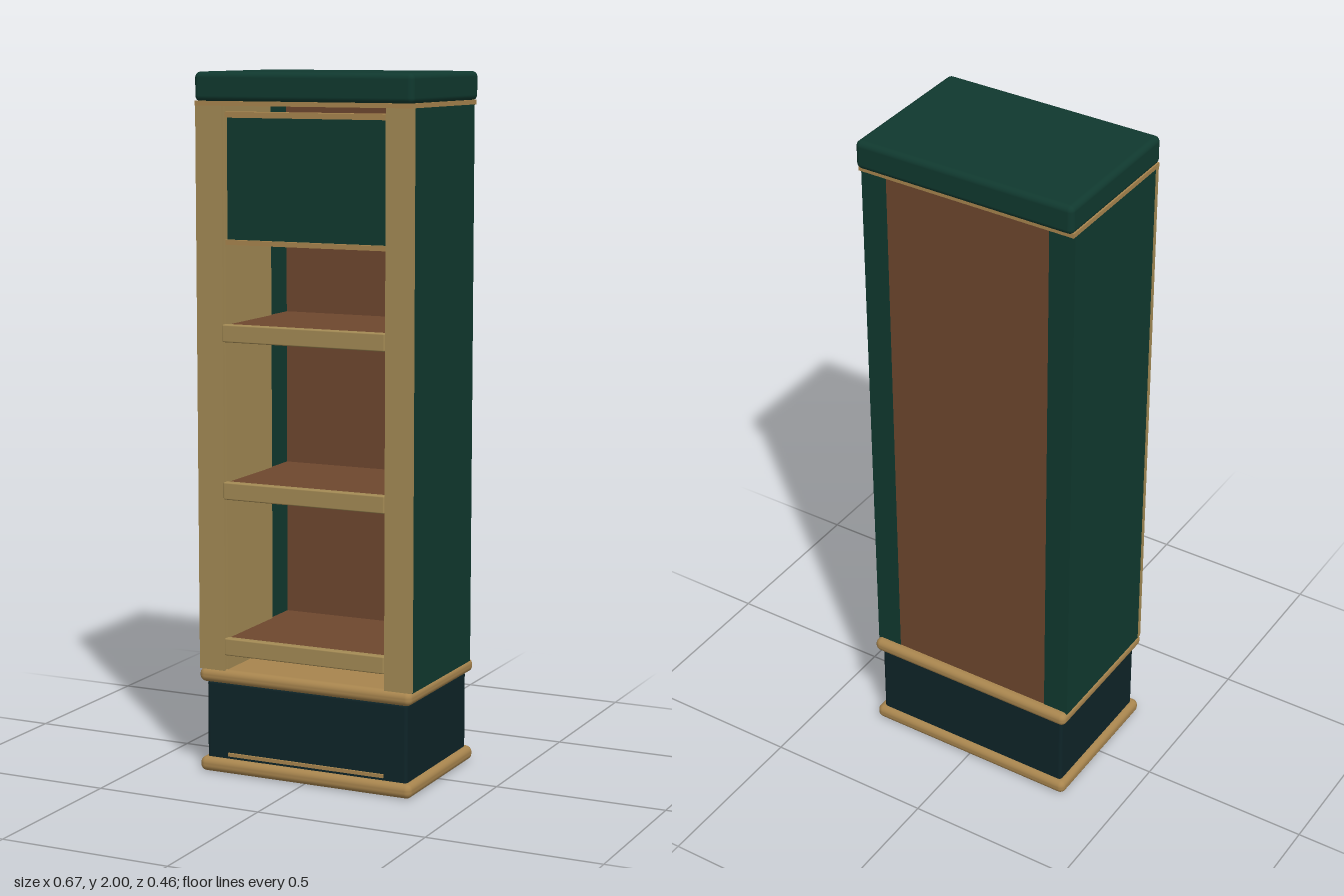
import * as THREE from 'three';
import { RoundedBoxGeometry } from 'three/addons/geometries/RoundedBoxGeometry.js';

const mat = (name, color) => {
  const m = new THREE.MeshStandardMaterial({ color });
  m.name = name;
  return m;
};

export function createModel() {
  const green = mat('dark green', 0x10392f);
  const teal = mat('blackish teal', 0x0e2428);
  const gold = mat('antique gold', 0xa38a54);
  const brass = mat('warm gold', 0xa8854e);
  const brown = mat('walnut brown', 0x6e472e);

  const root = new THREE.Group();
  root.name = 'displayCabinet';

  // Box given by its limits on each axis; r > 0 rounds the edges
  const box = (name, material, [x0, x1], [y0, y1], [z0, z1], r = 0) => {
    const size = [x1 - x0, y1 - y0, z1 - z0];
    const geo = r ? new RoundedBoxGeometry(...size, 4, r) : new THREE.BoxGeometry(...size);
    const mesh = new THREE.Mesh(geo, material);
    mesh.name = name;
    mesh.position.set((x0 + x1) / 2, (y0 + y1) / 2, (z0 + z1) / 2);
    root.add(mesh);
    return mesh;
  };

  // Plinth with bullnose mouldings
  box('bottomMoulding', brass, [-0.333, 0.333], [0, 0.042], [-0.228, 0.228], 0.018);
  box('plinth', teal, [-0.315, 0.315], [0.03, 0.268], [-0.21, 0.21], 0.01);
  box('plinthTrim', brass, [-0.245, 0.245], [0.05, 0.06], [0.205, 0.216]);
  box('upperMoulding', brass, [-0.333, 0.333], [0.265, 0.306], [-0.228, 0.228], 0.018);

  // Cap and the thin band below it
  box('capBand', brass, [-0.331, 0.331], [1.907, 1.92], [-0.215, 0.224]);
  box('cap', green, [-0.333, 0.333], [1.918, 2], [-0.228, 0.228], 0.016);

  // Side walls, front posts and inner linings, mirrored
  for (const s of [-1, 1]) {
    const side = s < 0 ? 'right' : 'left';
    const span = (a, b) => (s < 0 ? [-b, -a] : [a, b]);
    box(side + 'Wall', green, span(0.252, 0.33), [0.3, 1.91], [-0.205, 0.209]);
    box(side + 'Post', gold, span(0.25, 0.332), [0.303, 1.915], [0.208, 0.22]);
    box(side + 'Lining', gold, span(0.246, 0.253), [0.303, 1.908], [-0.07, 0.209]);
  }

  // Back panel
  box('backPanel', brown, [-0.253, 0.253], [0.3, 1.91], [-0.204, -0.18]);

  // Shelves with front lips
  for (const y of [0.35, 0.802, 1.25]) {
    box('shelf', brown, [-0.252, 0.252], [y + 0.005, y + 0.047], [-0.182, 0.206]);
    box('shelfLip', gold, [-0.25, 0.25], [y, y + 0.05], [0.2, 0.224], 0.004);
  }

  // Header panel with trims above and below
  box('headerPanel', green, [-0.246, 0.246], [1.53, 1.878], [0.165, 0.195]);
  box('headerTopTrim', brass, [-0.248, 0.248], [1.874, 1.89], [0.165, 0.207]);
  box('headerBottomTrim', brass, [-0.248, 0.248], [1.522, 1.536], [0.165, 0.207]);

  return root;
}
